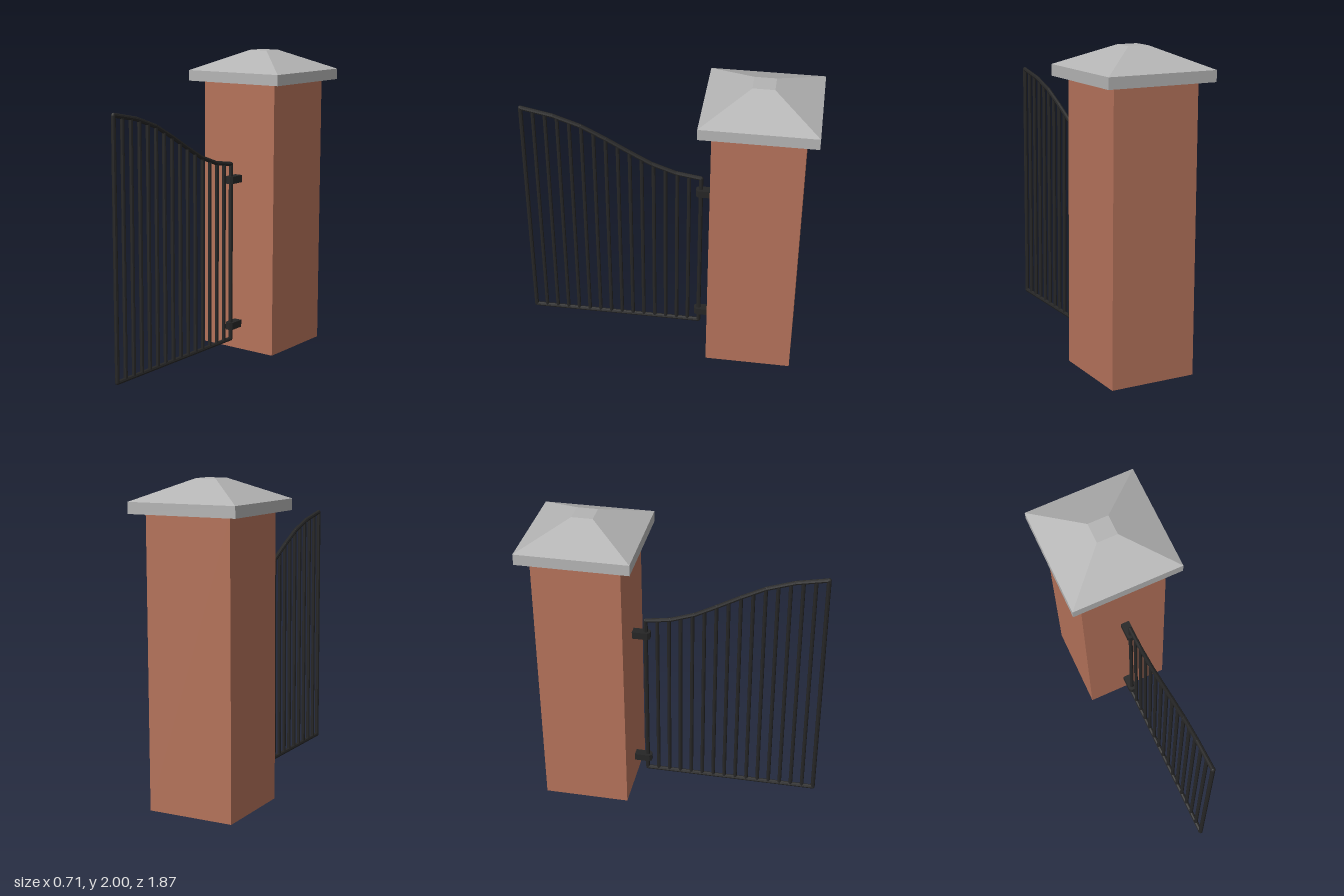
import * as THREE from 'three';

export function createModel() {
  const model = new THREE.Group();
  model.name = 'gatePost';
  const brick = new THREE.MeshStandardMaterial({ color: 0xb4725a, flatShading: true });
  const stone = new THREE.MeshStandardMaterial({ color: 0xb4b4b4, flatShading: true });
  const iron = new THREE.MeshStandardMaterial({ color: 0x262626, flatShading: true });
  const postZ = -0.58;

  const add = (parent, name, geometry, material, x, y, z) => {
    const mesh = new THREE.Mesh(geometry, material);
    mesh.name = name;
    mesh.position.set(x, y, z);
    parent.add(mesh);
    return mesh;
  };

  // Brick pillar
  add(model, 'pillar', new THREE.BoxGeometry(0.56, 1.8, 0.56), brick, 0, 0.9, postZ);

  // Stone cap: square slab with a truncated pyramid on top
  const cap = new THREE.Group();
  cap.name = 'cap';
  model.add(cap);
  add(cap, 'capSlab', new THREE.BoxGeometry(0.71, 0.07, 0.71), stone, 0, 1.835, postZ);
  const roof = new THREE.CylinderGeometry(0.067 * Math.SQRT2, 0.355 * Math.SQRT2, 0.13, 4);
  roof.rotateY(Math.PI / 4);
  add(cap, 'capRoof', roof, stone, 0, 1.935, postZ);

  // Hinges: blocks with chamfered front corners, reaching into the pillar face
  const outline = new THREE.Shape([
    [-0.028, 0.31], [-0.028, 0.2], [-0.015, 0.185],
    [0.015, 0.185], [0.028, 0.2], [0.028, 0.31],
  ].map(([x, z]) => new THREE.Vector2(x, z)));
  const hinge = new THREE.ExtrudeGeometry(outline, { depth: 0.048, bevelEnabled: false });
  hinge.rotateX(-Math.PI / 2);
  for (const y of [0.18, 1.17]) add(model, 'hinge', hinge, iron, 0, y - 0.024, 0);

  // Gate: every rail and bar is a slim rod between two points in the x = 0 plane
  const gate = new THREE.Group();
  gate.name = 'gate';
  model.add(gate);
  const radius = 0.014;
  const rod = (name, z1, y1, z2, y2, r = radius) => {
    const length = Math.hypot(z2 - z1, y2 - y1);
    const mesh = add(gate, name, new THREE.CylinderGeometry(r, r, length, 8), iron,
      0, (y1 + y2) / 2, (z1 + z2) / 2);
    mesh.rotation.x = Math.atan2(z2 - z1, y2 - y1);
  };
  const joint = (z, y) => add(gate, 'railJoint', new THREE.SphereGeometry(radius, 8, 6), iron, 0, y, z);

  // Sweeping top rail as [z, y] points, and a straight bottom rail
  const top = [[0.92, 1.695], [0.72, 1.655], [0.545, 1.595], [0.39, 1.515],
    [0.24, 1.43], [0.1, 1.355], [-0.055, 1.3], [-0.215, 1.275]];
  const bottom = 0.088;
  top.forEach(([z, y], i) => {
    joint(z, y);
    if (i) rod('topRail', top[i - 1][0], top[i - 1][1], z, y);
  });
  rod('bottomRail', 0.92, bottom, -0.215, bottom);
  joint(0.92, bottom);
  joint(-0.215, bottom);

  // Height of the top rail at a given z
  const topAt = (z) => {
    let i = 1;
    while (i < top.length - 1 && z < top[i][0]) i++;
    const [z1, y1] = top[i - 1], [z2, y2] = top[i];
    return y1 + (y2 - y1) * (z - z1) / (z2 - z1);
  };

  // Evenly spaced upright bars, the first and last forming the gate's frame
  const count = 16;
  for (let i = 0; i < count; i++) {
    const z = 0.92 - 1.135 * i / (count - 1);
    const end = i === 0 || i === count - 1;
    rod(end ? 'gateStile' : 'gateBar', z, bottom, z, topAt(z), end ? radius : 0.0125);
  }
  return model;
}
